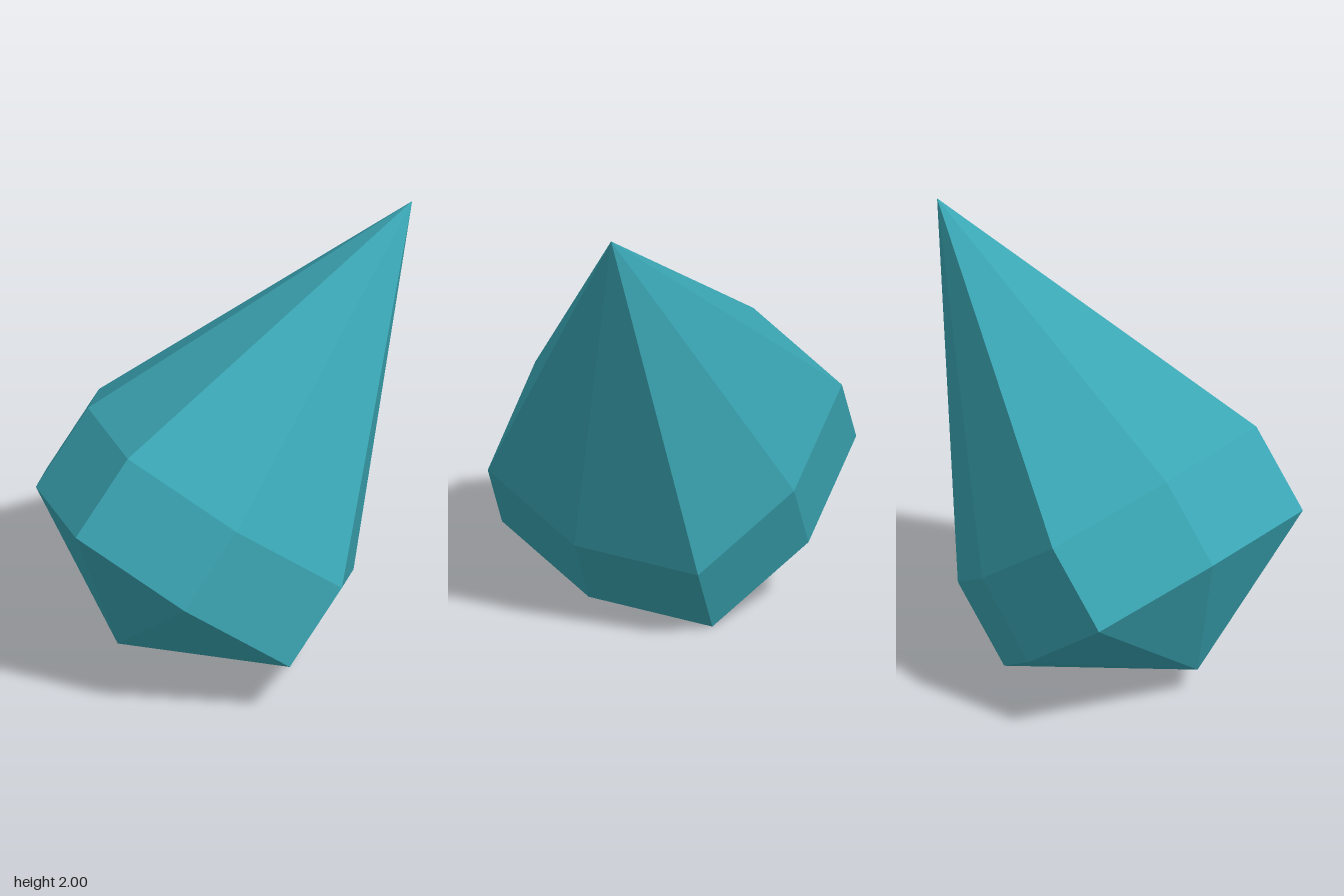
import * as THREE from 'three';

export function createModel() {
  const teal = new THREE.MeshStandardMaterial({ color: 0x3aa5b3 });
  teal.name = 'teal';

  const v = (x, y, z) => new THREE.Vector3(x, y, z);
  const tip = v(0.85, 2, -0.13), base = v(-0.55, 0.12, 0.04);

  // girdle: irregular octagon square to the tilted axis, extruded along it
  const upper = [
    v(0.27, 0.6, 0.68), v(-0.2, 0.94, 0.645), v(-0.605, 1.22, 0.355), v(-0.605, 1.17, -0.215),
    v(-0.395, 0.96, -0.715), v(0.065, 0.625, -0.675), v(0.48, 0.34, -0.39), v(0.48, 0.395, 0.19),
  ];
  const drop = v(-0.248, -0.335, 0.032);
  const lower = upper.map((p) => p.clone().add(drop));

  // one mesh per band, three corners to each triangle
  const band = (name, corners) => {
    const points = upper.flatMap((_, i) => corners(i, (i + 1) % upper.length));
    const geometry = new THREE.BufferGeometry().setFromPoints(points);
    geometry.computeVertexNormals(); // unshared corners give flat facets
    const mesh = new THREE.Mesh(geometry, teal);
    mesh.name = name;
    return mesh;
  };

  const crystal = new THREE.Group();
  crystal.name = 'crystal';
  crystal.add(
    band('longPoint', (i, j) => [tip, upper[j], upper[i]]),
    band('girdle', (i, j) => [upper[j], lower[j], lower[i], upper[j], lower[i], upper[i]]),
    band('shortPoint', (i, j) => [lower[j], base, lower[i]]),
  );
  return crystal;
}
